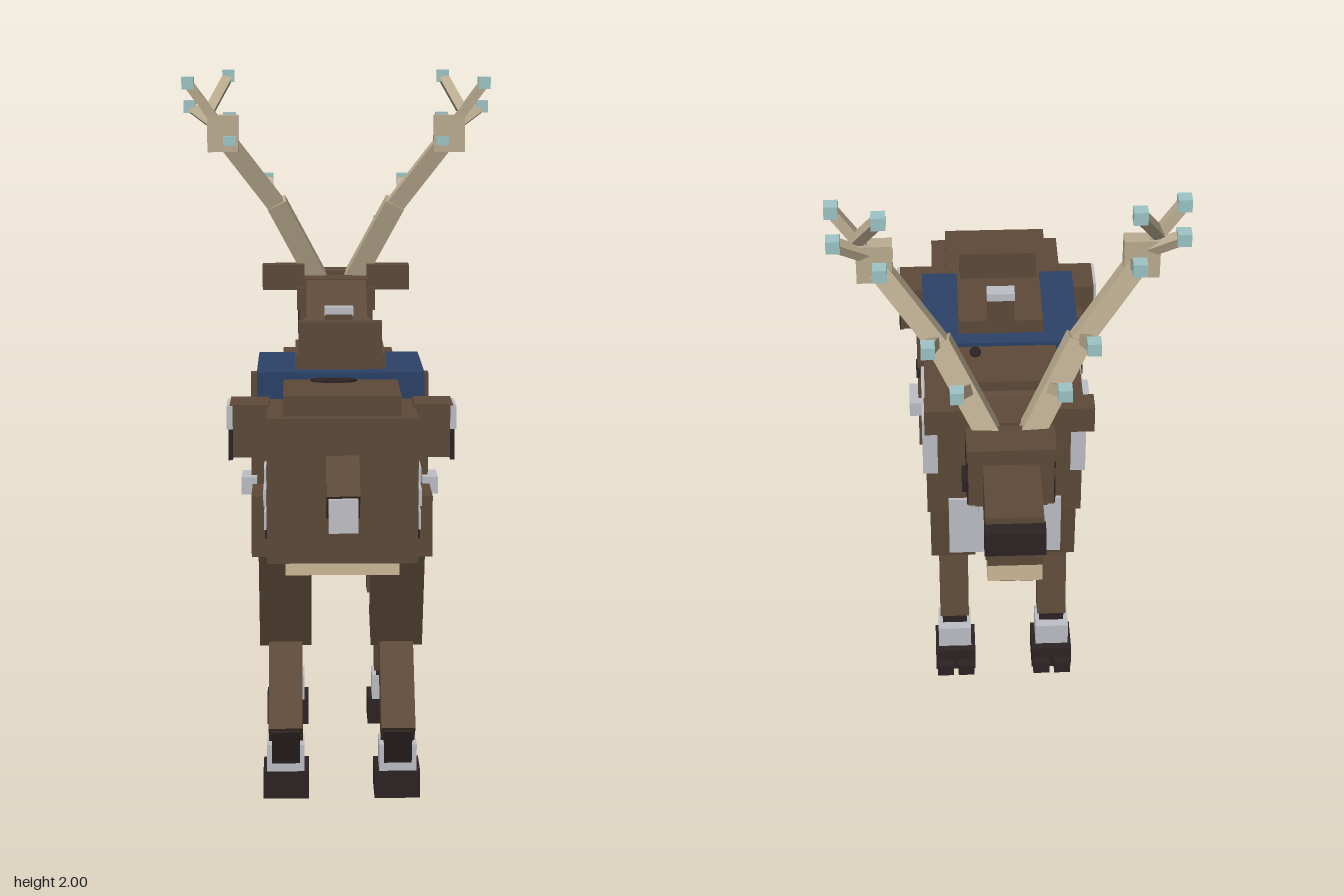
import * as THREE from 'three';

const mat = (name, color) => {
  const m = new THREE.MeshStandardMaterial({ color });
  m.name = name;
  return m;
};

export function createModel() {
  const root = new THREE.Group();
  root.name = 'reindeer';
  const brown = mat('brown hide', 0x5e4a39);
  const dark = mat('dark horn', 0x2d2324);
  const grey = mat('pale grey', 0xbfc0c6);
  const blue = mat('blue cloth', 0x2b4268);
  const cream = mat('cream', 0xcfba98);
  const bone = mat('antler bone', 0xbdae92);
  const gold = mat('gold', 0xb38a28);
  const ice = mat('ice blue', 0x9fc6c8);

  const add = (name, geo, m) => {
    const mesh = new THREE.Mesh(geo, m);
    mesh.name = name;
    root.add(mesh);
    return mesh;
  };
  // Box given by its extents
  const box = (name, m, x0, x1, y0, y1, z0, z1) => {
    const b = add(name, new THREE.BoxGeometry(Math.abs(x1 - x0), y1 - y0, Math.abs(z1 - z0)), m);
    b.position.set((x0 + x1) / 2, (y0 + y1) / 2, (z0 + z1) / 2);
    return b;
  };
  // Box centred on x = 0
  const mid = (name, m, hx, ...r) => box(name, m, -hx, hx, ...r);
  // Mirrored pair of boxes
  const pair = (name, m, x0, x1, ...r) => [1, -1].forEach(s => box(name, m, s * x0, s * x1, ...r));
  // Box running from point a to point b
  const beam = (name, m, a, b, w, d) => {
    const p = new THREE.Vector3(...a), q = new THREE.Vector3(...b);
    const dir = q.clone().sub(p);
    const mesh = add(name, new THREE.BoxGeometry(w, dir.length(), d), m);
    mesh.position.copy(p).add(q).multiplyScalar(0.5);
    mesh.quaternion.setFromUnitVectors(new THREE.Vector3(0, 1, 0), dir.normalize());
    return mesh;
  };

  // Body
  mid('rump', brown, 0.205, 0.705, 1.105, 0.46, 0.765);
  mid('rumpTop', brown, 0.16, 1.1, 1.16, 0.46, 0.735);
  mid('barrel', brown, 0.215, 0.695, 1.1, 0.1, 0.47);
  mid('shoulders', brown, 0.235, 0.7, 1.12, -0.135, 0.13);
  mid('withers', brown, 0.165, 1.11, 1.167, -0.1, 0.09);
  mid('chest', brown, 0.175, 0.8, 1.1, -0.19, -0.13);
  mid('bellyRear', cream, 0.155, 0.67, 0.71, 0.47, 0.755);
  mid('bellyMiddle', cream, 0.155, 0.67, 0.7, 0.18, 0.45);
  mid('bellyFront', cream, 0.155, 0.675, 0.705, -0.13, 0.16);

  // Dark spots on the back
  for (const [x, y, z, rx, rz] of [[-0.02, 1.162, 0.485, 0.065, 0.035], [0.08, 1.169, 0.05, 0.017, 0.025]]) {
    const spot = add('backSpot', new THREE.CylinderGeometry(1, 1, 0.006, 16), dark);
    spot.scale.set(rx, 1, rz);
    spot.position.set(x, y, z);
  }

  // Flank markings
  pair('hipStripe', grey, 0.206, 0.212, 0.93, 0.97, 0.67, 0.768);
  pair('hipStripe', grey, 0.206, 0.214, 0.865, 0.91, 0.64, 0.768);
  pair('hipStripe', grey, 0.206, 0.212, 0.8, 0.85, 0.685, 0.768);
  pair('hipMark', dark, 0.204, 0.21, 0.775, 0.8, 0.73, 0.768);
  pair('shoulderPatch', grey, 0.2, 0.245, 0.855, 1.06, -0.138, 0.13);

  // Saddle
  mid('saddleBlanket', blue, 0.236, 1.01, 1.18, 0.08, 0.458);
  mid('blanketTrim', grey, 0.238, 0.992, 1.012, 0.085, 0.455);
  mid('saddleSeat', brown, 0.128, 1.175, 1.225, 0.13, 0.405);
  mid('cantle', brown, 0.118, 1.22, 1.315, 0.36, 0.41);
  mid('pommel', brown, 0.04, 1.22, 1.305, 0.13, 0.17);
  mid('pommelCap', grey, 0.042, 1.3, 1.325, 0.125, 0.17);
  mid('girth', brown, 0.222, 0.655, 0.7, 0.245, 0.29);
  pair('girthStrap', brown, 0.21, 0.257, 0.66, 1.15, 0.248, 0.292);
  pair('girthBuckle', dark, 0.25, 0.261, 0.93, 0.97, 0.247, 0.293);
  pair('stirrup', grey, 0.24, 0.285, 0.8, 0.85, 0.22, 0.325);
  pair('saddlebag', brown, 0.2, 0.308, 0.965, 1.113, 0.465, 0.6);
  pair('bagFlap', grey, 0.3, 0.317, 1.045, 1.11, 0.48, 0.602);
  pair('bagPouch', dark, 0.3, 0.312, 0.96, 1.045, 0.468, 0.61);

  // Tail
  beam('tail', brown, [0, 0.97, 0.75], [0, 0.88, 0.85], 0.09, 0.1);
  beam('tailTip', grey, [0, 0.91, 0.867], [0, 0.82, 0.87], 0.078, 0.062);

  // Legs
  for (const s of [1, -1]) {
    box('hip', brown, s * 0.1, s * 0.248, 0.705, 0.875, 0.53, 0.69);
    beam('hindThigh', brown, [s * 0.157, 0.8, 0.605], [s * 0.157, 0.435, 0.46], 0.146, 0.155);
    beam('hindShin', brown, [s * 0.157, 0.445, 0.45], [s * 0.157, 0.185, 0.665], 0.095, 0.1);
    box('hindKnee', dark, s * 0.118, s * 0.196, 0.39, 0.43, 0.41, 0.45);
    beam('hindAnkle', dark, [s * 0.157, 0.215, 0.675], [s * 0.157, 0.1, 0.635], 0.078, 0.06);
    beam('foreThigh', brown, [s * 0.157, 0.77, 0], [s * 0.157, 0.435, 0.03], 0.14, 0.122);
    box('foreKnee', dark, s * 0.115, s * 0.2, 0.405, 0.44, -0.01, 0.07);
    beam('foreShin', brown, [s * 0.157, 0.425, 0.03], [s * 0.157, 0.18, -0.015], 0.092, 0.076);
    box('foreAnkle', dark, s * 0.118, s * 0.196, 0.14, 0.19, -0.05, 0.018);
    // Feet: pale cuff, hoof and two toes
    for (const z of [0.02, 0.668]) {
      box('cuff', grey, s * 0.105, s * 0.21, 0.08, 0.157, z - 0.1, z);
      box('hoof', dark, s * 0.092, s * 0.22, 0, 0.08, z - 0.125, z);
      box('toe', dark, s * 0.096, s * 0.148, 0, 0.042, z - 0.155, z - 0.12);
      box('toe', dark, s * 0.164, s * 0.216, 0, 0.042, z - 0.155, z - 0.12);
    }
  }

  // Chest ruff and collar
  pair('chestPlate', grey, 0.02, 0.17, 0.59, 0.8, -0.2, -0.13);
  mid('ruffLow', grey, 0.1, 0.77, 0.9, -0.215, -0.15);
  mid('ruffMiddle', grey, 0.1, 0.865, 1.0, -0.33, -0.17);
  mid('ruffHigh', grey, 0.085, 0.94, 1.11, -0.455, -0.25);
  mid('collar', dark, 0.13, 0.882, 0.925, -0.262, -0.18);
  mid('pendantBar', gold, 0.075, 0.845, 0.866, -0.285, -0.21);
  [-0.05, 0, 0.05].forEach(x => box('pendant', gold, x - 0.018, x + 0.018, 0.82, 0.85, -0.285, -0.24));

  // Neck
  beam('neckLower', brown, [0, 0.985, -0.1], [0, 1.145, -0.31], 0.21, 0.235);
  beam('neckUpper', brown, [0, 1.12, -0.28], [0, 1.25, -0.45], 0.19, 0.225);
  beam('maneMark', grey, [0, 1.176, -0.215], [0, 1.191, -0.235], 0.08, 0.008);
  beam('maneMark', grey, [0, 1.262, -0.33], [0, 1.293, -0.37], 0.08, 0.008);

  // Head
  mid('skull', brown, 0.1, 1.14, 1.315, -0.635, -0.39);
  mid('skullBack', brown, 0.125, 1.24, 1.312, -0.51, -0.41);
  mid('crown', brown, 0.105, 1.3, 1.34, -0.52, -0.4);
  mid('brow', brown, 0.122, 1.31, 1.35, -0.655, -0.545);
  mid('cheeks', brown, 0.118, 1.14, 1.315, -0.63, -0.5);
  pair('ear', brown, 0.1, 0.235, 1.3, 1.38, -0.515, -0.45);
  pair('eye', dark, 0.116, 0.124, 1.24, 1.295, -0.6, -0.535);
  pair('mouthCorner', dark, 0.116, 0.122, 1.14, 1.22, -0.625, -0.585);
  mid('snout', brown, 0.078, 1.14, 1.285, -0.857, -0.6);
  mid('lip', brown, 0.074, 1.14, 1.19, -0.882, -0.84);
  mid('nose', dark, 0.082, 1.19, 1.265, -0.9, -0.85);
  mid('jaw', cream, 0.074, 1.075, 1.142, -0.87, -0.47);
  mid('chin', brown, 0.05, 1.06, 1.076, -0.855, -0.76);

  // Antlers: beam, palm and tipped tines
  for (const s of [1, -1]) {
    const at = ([x, y, z]) => [s * x, y, z];
    beam('antlerBase', bone, at([0.05, 1.31, -0.545]), at([0.19, 1.58, -0.46]), 0.065, 0.06);
    beam('antlerBeam', bone, at([0.18, 1.56, -0.465]), at([0.345, 1.78, -0.4]), 0.055, 0.05);
    box('antlerPalm', bone, s * 0.308, s * 0.405, 1.745, 1.86, -0.42, -0.375);
    box('palmMark', ice, s * 0.315, s * 0.355, 1.765, 1.795, -0.378, -0.372);
    const tines = [
      [[0.11, 1.45, -0.505], [0.145, 1.505, -0.605]],
      [[0.2, 1.58, -0.46], [0.22, 1.645, -0.59]],
      [[0.34, 1.78, -0.4], [0.34, 1.845, -0.52]],
      [[0.37, 1.82, -0.4], [0.462, 1.885, -0.44]],
      [[0.37, 1.83, -0.4], [0.465, 1.96, -0.39]],
      [[0.4, 1.87, -0.4], [0.34, 1.98, -0.48]],
    ];
    for (const [a, b] of tines) {
      beam('tine', bone, at(a), at(b), 0.03, 0.03);
      add('tineTip', new THREE.BoxGeometry(0.038, 0.038, 0.038), ice).position.set(...at(b));
    }
  }
  return root;
}
